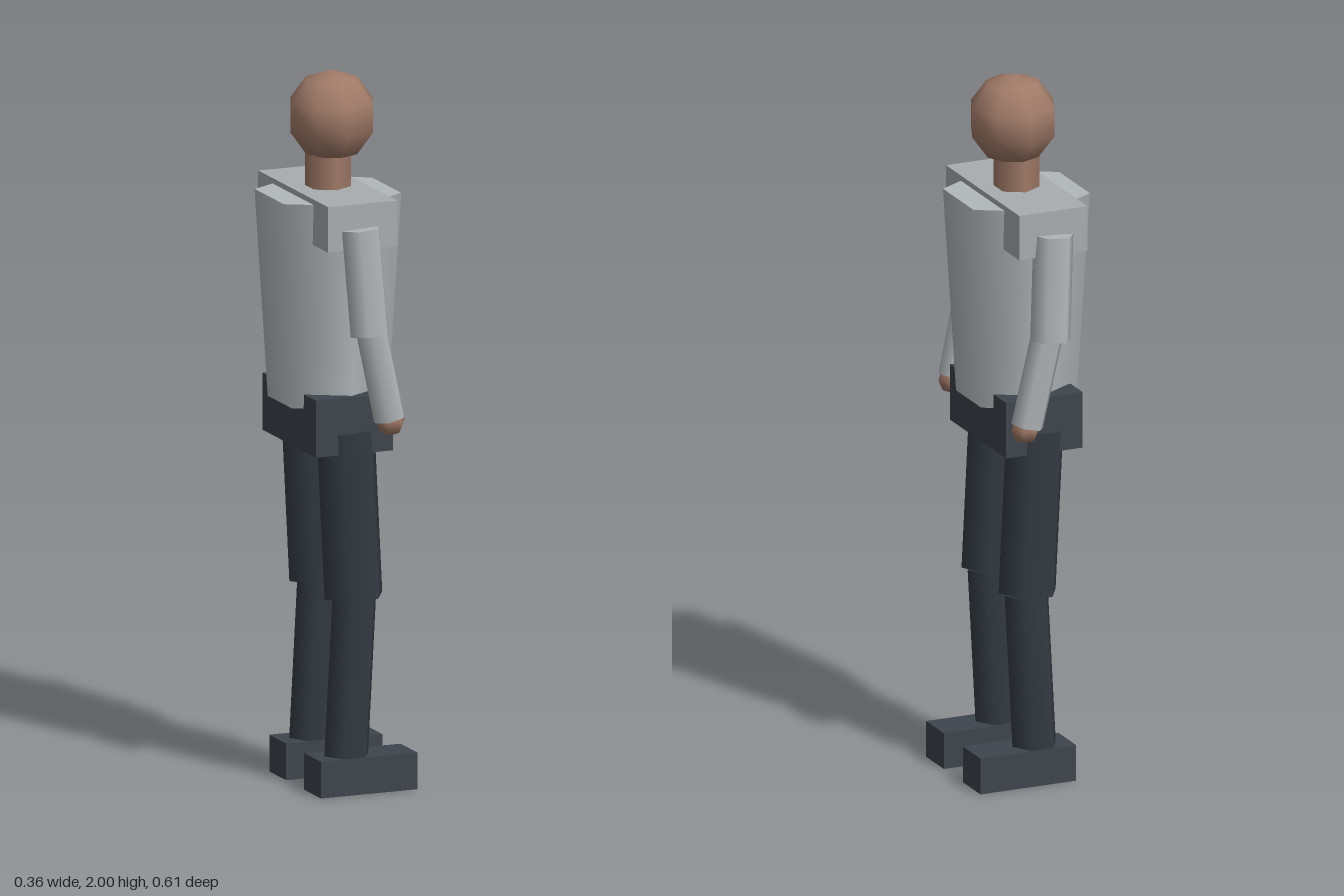
import * as THREE from 'three';

const mat = (name, color) => {
  const m = new THREE.MeshStandardMaterial({ color });
  m.name = name;
  return m;
};

export function createModel() {
  const skin = mat('skin', 0xa07a68);
  const shirt = mat('shirt grey', 0xb2b7ba);
  const yoke = mat('shoulder grey', 0xa9adb0);
  const trousers = mat('trouser slate', 0x343b42);
  const dark = mat('dark slate', 0x3e454d);

  const figure = new THREE.Group();
  figure.name = 'figure';

  const add = (parent, name, geometry, material, x, y, z) => {
    const mesh = new THREE.Mesh(geometry, material);
    mesh.name = name;
    mesh.position.set(x, y, z);
    parent.add(mesh);
    return mesh;
  };

  // Six-sided limb segment from point a (top) to point b, flat facets facing the sides
  const limb = (parent, name, material, radius, a, b, twist = 0) => {
    const top = new THREE.Vector3(...a), bottom = new THREE.Vector3(...b);
    const dir = top.clone().sub(bottom);
    const geometry = new THREE.CylinderGeometry(radius, radius, dir.length(), 6);
    geometry.rotateY(Math.PI / 6 + twist);
    const mid = top.add(bottom).multiplyScalar(0.5);
    const mesh = add(parent, name, geometry, material, mid.x, mid.y, mid.z);
    mesh.quaternion.setFromUnitVectors(new THREE.Vector3(0, 1, 0), dir.normalize());
  };

  // Head and neck
  add(figure, 'head', new THREE.SphereGeometry(0.128, 8, 5), skin, 0.003, 1.872, 0);
  add(figure, 'neck', new THREE.CylinderGeometry(0.063, 0.063, 0.15, 6), skin, -0.008, 1.705, 0);

  // Tapered torso, shoulder block and hips
  add(figure, 'torso', new THREE.CylinderGeometry(0.202, 0.166, 0.58, 6), shirt, -0.008, 1.37, 0);
  add(figure, 'shoulders', new THREE.BoxGeometry(0.205, 0.128, 0.484), yoke, -0.009, 1.611, 0);
  add(figure, 'hips', new THREE.BoxGeometry(0.23, 0.16, 0.37), dark, -0.008, 1.04, 0);

  // Arms and legs, mirrored across z
  for (const s of [1, -1]) {
    const arm = new THREE.Group();
    arm.name = 'arm';
    limb(arm, 'upperArm', shirt, 0.058, [-0.012, 1.605, s * 0.235], [0.006, 1.31, s * 0.254], s * 0.1);
    limb(arm, 'forearm', shirt, 0.047, [0.014, 1.32, s * 0.249], [0.07, 1.067, s * 0.242], s * 0.1);
    add(arm, 'hand', new THREE.SphereGeometry(0.042, 6, 4), skin, 0.075, 1.058, s * 0.24);

    const leg = new THREE.Group();
    leg.name = 'leg';
    limb(leg, 'thigh', trousers, 0.086, [-0.008, 1.02, s * 0.122], [0.0155, 0.548, s * 0.122]);
    limb(leg, 'shin', trousers, 0.065, [0.018, 0.545, s * 0.122], [-0.006, 0.098, s * 0.122]);
    add(leg, 'foot', new THREE.BoxGeometry(0.287, 0.103, 0.117), dark, 0.038, 0.0515, s * 0.121);

    figure.add(arm, leg);
  }
  return figure;
}
